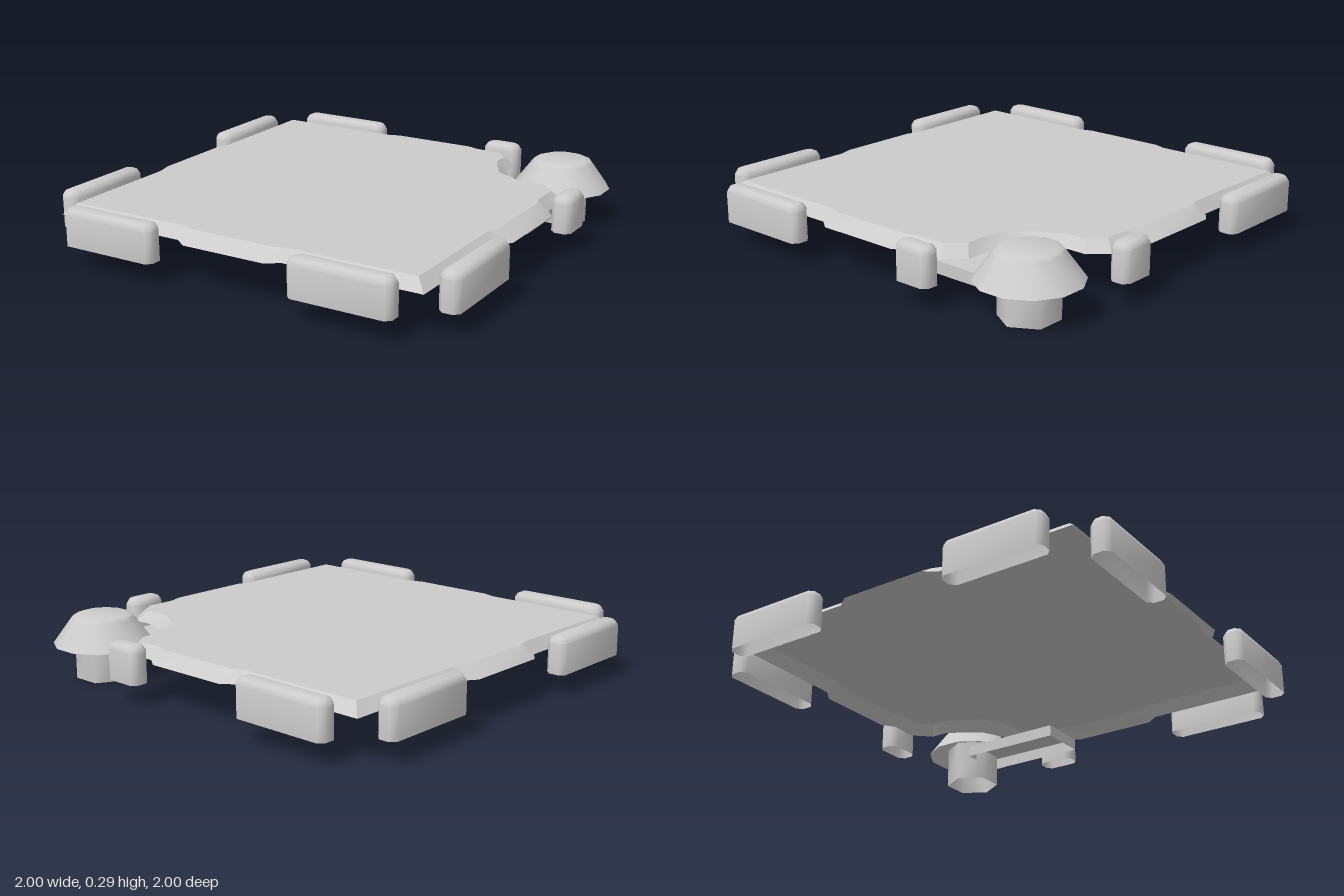
import * as THREE from 'three';
import { toCreasedNormals } from 'three/addons/utils/BufferGeometryUtils.js';

const material = new THREE.MeshStandardMaterial({ color: 0xcccccc, side: THREE.DoubleSide });

function addMesh(parent, name, geometry, x = 0, y = 0, z = 0) {
  const mesh = new THREE.Mesh(geometry, material);
  mesh.name = name;
  mesh.position.set(x, y, z);
  parent.add(mesh);
  return mesh;
}

// Shell through stacked loops of [x, z] (counter-clockwise from above), closed on top, open below
function shell(levels, crease) {
  const n = levels[0].loop.length;
  const positions = levels.flatMap(({ y, loop }) => loop.flatMap(([x, z]) => [x, y, z]));
  const index = [];
  for (let k = 0; k < levels.length - 1; k++) {
    for (let i = 0; i < n; i++) {
      const a = k * n + i, b = k * n + (i + 1) % n;
      index.push(a, b, b + n, a, b + n, a + n);
    }
  }
  const top = levels[levels.length - 1].loop.map(([x, z]) => new THREE.Vector2(x, -z));
  const base = (levels.length - 1) * n;
  for (const face of THREE.ShapeUtils.triangulateShape(top, [])) index.push(...face.map(i => base + i));
  const geometry = new THREE.BufferGeometry();
  geometry.setAttribute('position', new THREE.Float32BufferAttribute(positions, 3));
  geometry.setIndex(index);
  return toCreasedNormals(geometry, crease);
}

// Rectangle with cut corners
function cutRectangle(halfX, halfZ, cut) {
  const a = halfX - cut, b = halfZ - cut;
  return [[halfX, b], [halfX, -b], [a, -halfZ], [-a, -halfZ], [-halfX, -b], [-halfX, b], [-a, halfZ], [a, halfZ]];
}

function bumperGeometry(length) {
  const h = length / 2;
  return shell([
    { y: 0.1, loop: cutRectangle(h, 0.047, 0.024) },
    { y: 0.24, loop: cutRectangle(h, 0.047, 0.024) },
    { y: 0.262, loop: cutRectangle(h - 0.012, 0.036, 0.02) },
    { y: 0.27, loop: cutRectangle(h - 0.03, 0.02, 0.012) },
  ], 0.9);
}

export function createModel() {
  const model = new THREE.Group();
  model.name = 'floorTile';

  // Plate outline: outer x, outer z, inner x, inner z
  const outline = [
    [0.9, 0.9, 0.85, 0.85],
    [0.9, 0.26, 0.85, 0.26], [0.943, 0.2, 0.87, 0.2], [0.943, -0.2, 0.87, -0.2], [0.9, -0.26, 0.85, -0.26],
    // notch around the post
    [0.9, -0.43, 0.85, -0.4], [0.82, -0.51, 0.78, -0.47], [0.7, -0.51, 0.66, -0.47],
    [0.57, -0.575, 0.525, -0.54], [0.475, -0.73, 0.437, -0.7], [0.475, -0.82, 0.437, -0.79],
    [0.4, -0.9, 0.37, -0.85],
    [0.26, -0.9, 0.26, -0.85], [0.2, -0.943, 0.2, -0.87], [-0.2, -0.943, -0.2, -0.87], [-0.26, -0.9, -0.26, -0.85],
    [-0.9, -0.9, -0.85, -0.85],
    [-0.9, -0.26, -0.85, -0.26], [-0.943, -0.2, -0.87, -0.2], [-0.943, 0.2, -0.87, 0.2], [-0.9, 0.26, -0.85, 0.26],
    [-0.9, 0.9, -0.85, 0.85],
    [-0.26, 0.9, -0.26, 0.85], [-0.2, 0.943, -0.2, 0.87], [0.2, 0.943, 0.2, 0.87], [0.26, 0.9, 0.26, 0.85],
  ];
  addMesh(model, 'plate', shell([
    { y: 0.197, loop: outline.map(p => [p[0], p[1]]) },
    { y: 0.245, loop: outline.map(p => [p[2], p[3]]) },
  ], 0.5));

  // Edge bumpers: centre along the edge, fixed coordinate of the edge, length
  const edge = 0.953, long = 0.475, short = 0.18;
  for (const side of [-1, 1]) {
    addMesh(model, 'frontBumper', bumperGeometry(long), side * 0.573, 0, edge);
    addMesh(model, 'leftBumper', bumperGeometry(side > 0 ? long : short), edge, 0, side > 0 ? 0.573 : -0.352)
      .rotation.y = Math.PI / 2;
    addMesh(model, 'rightBumper', bumperGeometry(long), -edge, 0, side * 0.573).rotation.y = Math.PI / 2;
    addMesh(model, 'backBumper', bumperGeometry(side < 0 ? long : short), side < 0 ? -0.573 : 0.352, 0, -edge);
  }

  // Corner post with its wide cap
  const post = new THREE.Group();
  post.name = 'cornerPost';
  post.position.set(0.75, 0, -0.763);
  model.add(post);
  const stem = new THREE.CylinderGeometry(0.13, 0.13, 0.2, 6, 1, true).rotateY(Math.PI / 6);
  addMesh(post, 'stem', toCreasedNormals(stem, 1.2), 0, 0.1, 0);
  const profile = [[0.228, 0.16], [0.146, 0.272], [0.135, 0.286], [0.11, 0.295], [0, 0.295]];
  const cap = new THREE.LatheGeometry(profile.map(([r, y]) => new THREE.Vector2(r, y)), 12).rotateY(Math.PI / 12);
  addMesh(post, 'cap', toCreasedNormals(cap, 0.6));

  // Channel arm under the plate, reaching to the post
  const arm = shell([0.1, 0.155].map(y => ({
    y, loop: [[0.115, 0.25], [0.115, -0.25], [-0.115, -0.25], [-0.115, 0.25]],
  })), 0.5);
  addMesh(model, 'arm', arm, 0.722, 0, -0.43);

  return model;
}
